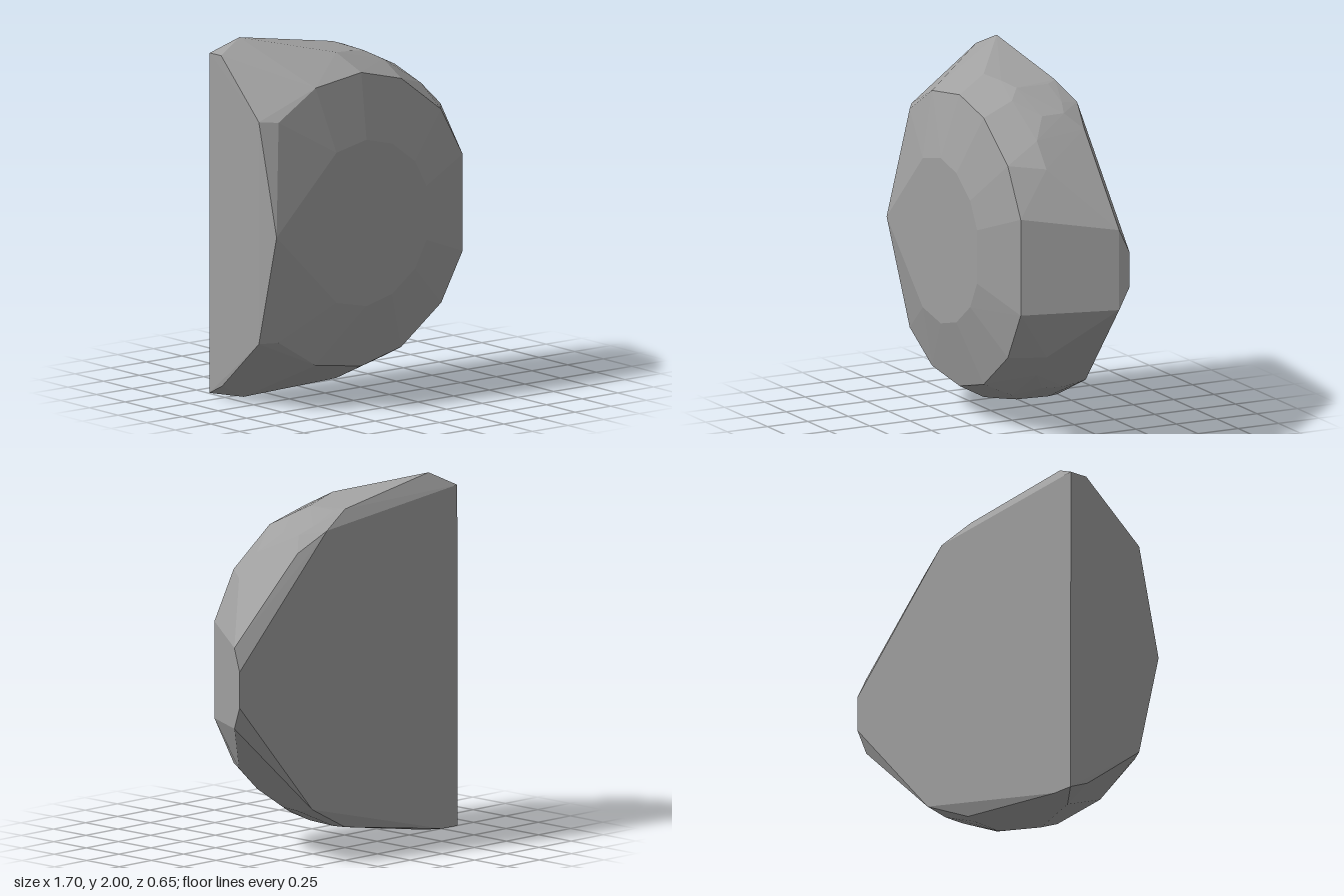
import * as THREE from 'three';
import { ConvexGeometry } from 'three/addons/geometries/ConvexGeometry.js';

export function createModel() {
  const group = new THREE.Group();
  group.name = 'rock';
  const stone = new THREE.MeshStandardMaterial({ color: 0xa0a0a0 });
  stone.name = 'grey stone';
  stone.flatShading = true;

  const points = [];
  const add = (x, y, z) => points.push(new THREE.Vector3(x, y, z));
  // adds a corner above the middle and its twin below
  const pair = (x, y, z) => { add(x, y, z); add(x, 2 - y, z); };

  // flat front facet
  add(-0.85, 1, 0.325);
  for (const [x, y] of [[-0.43, 1.42], [-0.22, 1.465], [-0.04, 1.42], [0.12, 1.3], [0.2, 1.15]]) pair(x, y, 0.325);

  // bevelled ring around the front
  for (const [x, y] of [[-0.76, 1.615], [-0.5, 1.775], [-0.18, 1.82], [0.1, 1.75], [0.38, 1.54], [0.53, 1.27]]) pair(x, y, 0.23);

  // chipped shoulders
  for (const [x, y, z] of [
    [-0.22, 1.91, 0.06], [-0.09, 1.895, 0.02], [0.03, 1.877, -0.01], [0.11, 1.83, 0.06],
    [0.27, 1.765, -0.04], [0.38, 1.66, 0.05], [0.51, 1.53, 0.06],
    [0.04, 1.88, -0.2], [0.2, 1.81, -0.2], [0.28, 1.77, -0.17],
  ]) pair(x, y, z);

  // flat left side and blunt right tip
  pair(-0.85, 1.62, 0.17);
  pair(0.83, 1.225, -0.22);
  pair(0.845, 1.1, -0.275);

  // upper back corners
  add(-0.81, 1.925, -0.21);
  add(-0.65, 2, -0.25);
  add(-0.8, 1.92, -0.322);
  add(0.01, 1.89, -0.26);
  add(0.19, 1.8, -0.3);
  add(0.37, 1.69, -0.25);

  // lower back corners
  add(-0.81, 0.08, -0.2);
  add(-0.66, 0, -0.2);
  add(-0.8, 0.02, -0.325);
  add(-0.68, 0.02, -0.323);
  add(0.02, 0.12, -0.27);
  add(0.3, 0.26, -0.295);

  const body = new THREE.Mesh(new ConvexGeometry(points), stone);
  body.name = 'rockBody';
  group.add(body);
  return group;
}
